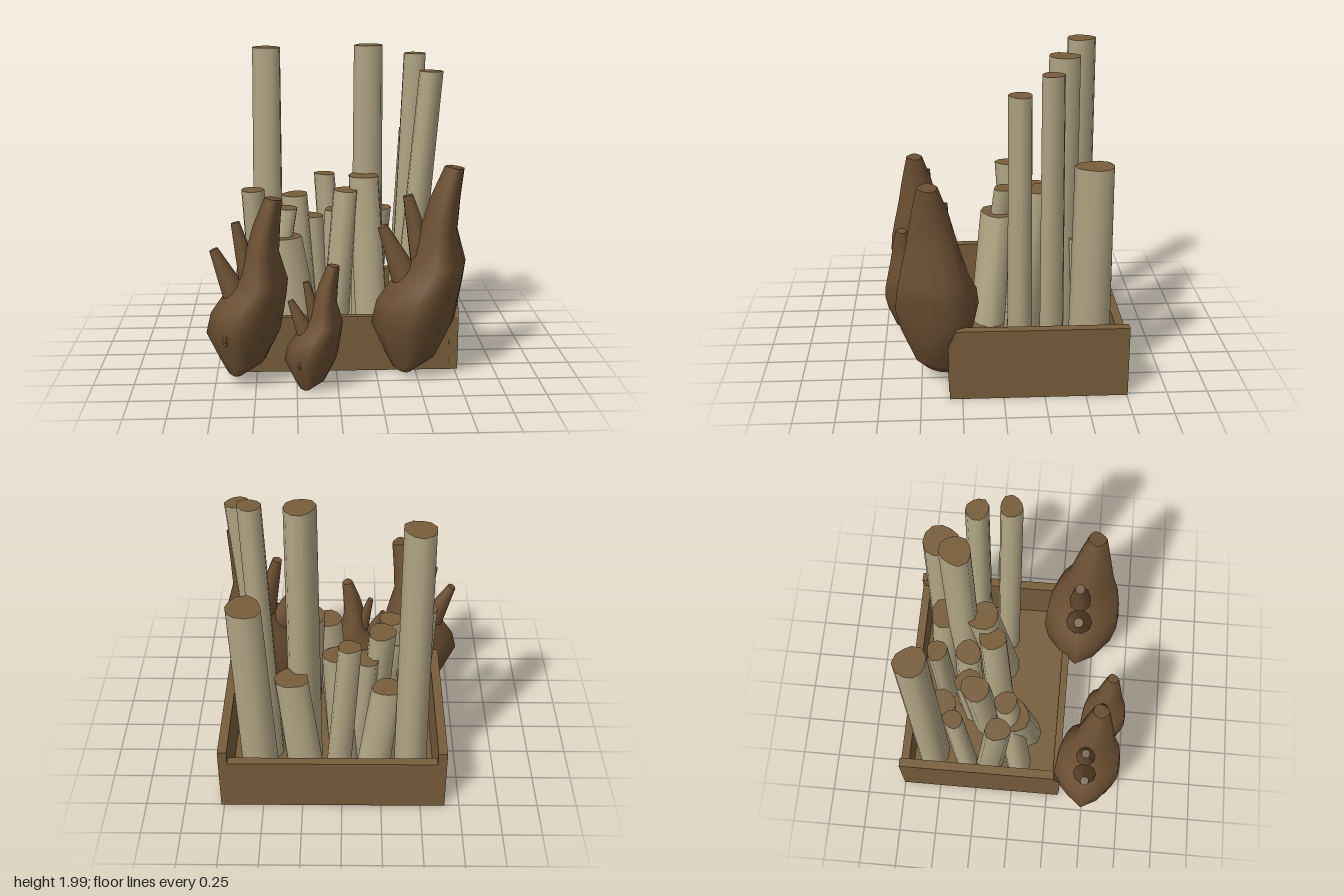
import * as THREE from 'three';

const boxWood = new THREE.MeshStandardMaterial({ color: 0x775d3b });
boxWood.name = 'brown wood';
const bark = new THREE.MeshStandardMaterial({ color: 0xb0a483 });
bark.name = 'pale bark';
const rootWood = new THREE.MeshStandardMaterial({ color: 0x6b4f32 });
rootWood.name = 'dark wood';

// Skin over rings of [x, y, z, rx, rz], each a scaled copy of a unit outline;
// group 0 is the side, group 1 the two caps
function loft(rings, outline, tilt = 0) {
  const pos = [], idx = [], sides = outline.length, last = rings.length - 1;
  const addRing = (k) => {
    const [x, y, z, rx, rz] = rings[k], start = pos.length / 3;
    for (const [u, v] of outline) {
      pos.push(x + u * rx, y + (k === last ? u * rx * tilt : 0), z + v * rz);
    }
    return start;
  };
  const starts = rings.map((_, k) => addRing(k));
  for (let k = 0; k < last; k++) {
    for (let i = 0; i < sides; i++) {
      const j = (i + 1) % sides, a = starts[k], b = starts[k + 1];
      idx.push(a + i, b + i, a + j, a + j, b + i, b + j);
    }
  }
  const sideCount = idx.length;
  for (const k of [0, last]) {
    const s = addRing(k), c = pos.length / 3;
    pos.push(rings[k][0], rings[k][1], rings[k][2]);
    for (let i = 0; i < sides; i++) {
      const j = (i + 1) % sides;
      if (k) idx.push(c, s + j, s + i);
      else idx.push(c, s + i, s + j);
    }
  }
  const g = new THREE.BufferGeometry();
  g.setAttribute('position', new THREE.Float32BufferAttribute(pos, 3));
  g.setIndex(idx);
  g.addGroup(0, sideCount, 0);
  g.addGroup(sideCount, idx.length - sideCount, 1);
  g.computeVertexNormals();
  return g;
}

function addMesh(parent, name, geometry, material, x = 0, y = 0, z = 0) {
  const m = new THREE.Mesh(geometry, material);
  m.name = name;
  m.position.set(x, y, z);
  parent.add(m);
  return m;
}

function makeCrate() {
  const crate = new THREE.Group();
  crate.name = 'crate';
  const block = (name, x0, x1, y0, y1, z0, z1) => addMesh(crate, name,
    new THREE.BoxGeometry(x1 - x0, y1 - y0, z1 - z0), boxWood,
    (x0 + x1) / 2, (y0 + y1) / 2, (z0 + z1) / 2);
  block('floor', -0.655, 0.77, 0.01, 0.065, -0.755, 0.328);
  block('frontWall', -0.597, 0.712, 0.065, 0.37, 0.28, 0.328);
  block('backWall', -0.597, 0.712, 0.065, 0.37, -0.755, -0.7);

  // Taller side boards with a clipped front corner
  const side = new THREE.Shape([[-0.755, 0.065], [0.333, 0.065], [0.333, 0.36], [0.285, 0.46], [-0.755, 0.46]]
    .map(([z, y]) => new THREE.Vector2(z, y)));
  const sideGeo = new THREE.ExtrudeGeometry(side, { depth: 0.058, bevelEnabled: false });
  sideGeo.rotateY(-Math.PI / 2);
  addMesh(crate, 'leftWall', sideGeo, boxWood, 0.77);
  addMesh(crate, 'rightWall', sideGeo, boxWood, -0.597);
  return crate;
}

// Logs: top x, top z, height, base x, base z, radius
const LOGS = [
  [-0.435, -0.565, 1.97, -0.44, -0.56, 0.094],
  [-0.28, -0.48, 0.77, -0.19, -0.53, 0.09],
  [-0.40, -0.40, 0.82, -0.47, -0.33, 0.065],
  [-0.525, -0.09, 1.10, -0.46, -0.17, 0.078],
  [-0.31, -0.06, 0.985, -0.47, 0.04, 0.075],
  [-0.335, -0.015, 0.81, -0.21, 0.05, 0.115],
  [-0.25, -0.26, 1.03, -0.18, -0.21, 0.09],
  [-0.15, -0.32, 0.87, -0.10, -0.28, 0.085],
  [-0.045, -0.52, 1.115, 0.03, -0.52, 0.068],
  [0.035, -0.335, 0.91, -0.02, -0.34, 0.085],
  [0.085, -0.18, 1.075, 0.01, -0.14, 0.085],
  [0.2, -0.25, 1.155, 0.26, -0.13, 0.1],
  [0.31, -0.52, 0.87, 0.22, -0.55, 0.1],
  [0.24, -0.385, 2.0, 0.24, -0.38, 0.094],
  [0.575, -0.545, 1.42, 0.515, -0.55, 0.112],
  [0.535, -0.29, 1.955, 0.47, -0.31, 0.07],
  [0.62, -0.1, 1.86, 0.47, -0.12, 0.072],
];

function makeLogs() {
  const logs = new THREE.Group();
  logs.name = 'logs';
  LOGS.forEach(([tx, tz, h, bx, bz, r], n) => {
    // Slightly lumpy round section, different for each log
    const outline = Array.from({ length: 11 }, (_, i) => {
      const a = (i / 11) * Math.PI * 2;
      const w = 1 + 0.06 * Math.sin(2 * a + n * 1.7) + 0.06 * Math.sin(3 * a + n * 2.9);
      return [Math.cos(a) * w, Math.sin(a) * w];
    });
    const rings = [[bx, 0.06, bz, r * 1.12, r * 1.12], [tx, h - 0.003, tz, r, r]];
    const tilt = h > 1.99 ? 0 : 0.03 * Math.sin(n * 2.3);
    addMesh(logs, 'log', loft(rings, outline, tilt), [bark, boxWood]);
  });
  return logs;
}

// Horned root sections: [y, xMin, xMax, zMin, zMax]
const ROOT = [
  [0.045, 0.36, 0.5, 0.27, 0.46],
  [0.13, 0.315, 0.63, 0.22, 0.53],
  [0.35, 0.215, 0.74, 0.17, 0.62],
  [0.5, 0.25, 0.77, 0.14, 0.65],
  [0.63, 0.34, 0.79, 0.155, 0.64],
  [0.74, 0.45, 0.8, 0.2, 0.62],
  [0.95, 0.505, 0.74, 0.265, 0.575],
  [1.15, 0.56, 0.75, 0.315, 0.54],
  [1.345, 0.645, 0.765, 0.38, 0.5],
];

// Unit outline of the root, blunt towards the back left
const ROOT_OUTLINE = [
  [1, -0.3], [0.85, 0.25], [0.45, 0.75], [0.1, 1], [-0.25, 0.95], [-0.75, 0.45],
  [-1, -0.1], [-0.65, -0.6], [-0.25, -1], [0.3, -0.92], [0.75, -0.75],
];

// Tapered branch running between two points
function makeBranch(parent, from, to, r0, r1) {
  const a = new THREE.Vector3(...from), b = new THREE.Vector3(...to);
  const dir = b.clone().sub(a);
  const m = addMesh(parent, 'branch', new THREE.CylinderGeometry(r1, r0, dir.length(), 10), rootWood);
  m.position.copy(a).add(b).multiplyScalar(0.5);
  m.quaternion.setFromUnitVectors(new THREE.Vector3(0, 1, 0), dir.normalize());
}

function makeRoot(name, scale, x, y, z, hasKnot) {
  const root = new THREE.Group();
  root.name = name;
  const rings = ROOT.map(([h, x0, x1, z0, z1]) =>
    [(x0 + x1) / 2, h, (z0 + z1) / 2, (x1 - x0) / 2, (z1 - z0) / 2]);
  addMesh(root, 'body', loft(rings, ROOT_OUTLINE, -0.15), [rootWood, rootWood]);
  makeBranch(root, [0.46, 0.56, 0.38], [0.28, 0.965, 0.365], 0.105, 0.032);
  makeBranch(root, [0.55, 0.68, 0.38], [0.435, 1.155, 0.355], 0.09, 0.032);
  if (hasKnot) {
    // Small raised knot on the front
    const knot = addMesh(root, 'knot', new THREE.TorusGeometry(0.03, 0.01, 6, 12), rootWood, 0.36, 0.36, 0.555);
    knot.scale.set(0.65, 1.3, 1);
    knot.rotation.y = -0.75;
  }
  // Place the lower corner of the root at x, y, z
  root.scale.setScalar(scale);
  root.position.set(x - 0.215 * scale, y - 0.045 * scale, z - 0.135 * scale);
  return root;
}

export function createModel() {
  const model = new THREE.Group();
  model.name = 'logCrate';
  model.add(
    makeCrate(),
    makeLogs(),
    makeRoot('largeRoot', 1, 0.215, 0.045, 0.135, false),
    makeRoot('mediumRoot', 0.855, -0.8, 0.075, 0.28, true),
    makeRoot('smallRoot', 0.605, -0.325, 0.01, 0.44, true),
  );
  return model;
}
